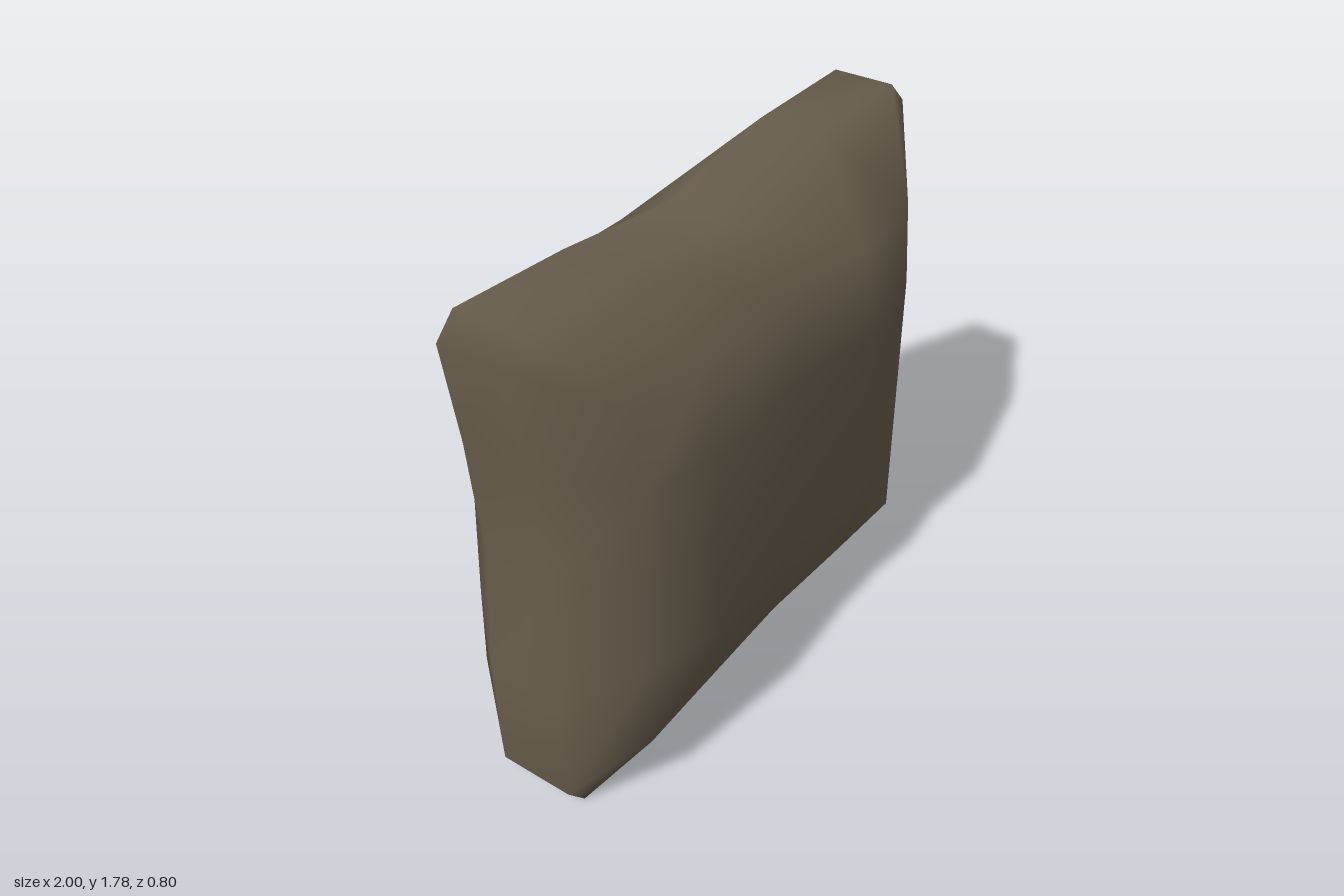
import * as THREE from 'three';

// Pillow outline, anticlockwise; each side repeats: middle, quarter, corner, corner, quarter
const OUTLINE = [
  [0.89, 0.93], [0.97, 1.38], [1, 1.7], [0.92, 1.78], [0.48, 1.77],
  [-0.02, 1.68], [-0.5, 1.735], [-0.93, 1.76], [-1, 1.69], [-0.95, 1.35],
  [-0.91, 0.93], [-0.94, 0.47], [-0.93, 0.085], [-0.86, 0], [-0.45, 0.025],
  [0, 0.05], [0.45, 0.03], [0.86, 0], [0.935, 0.09], [0.935, 0.47],
];

// Puffed faces: a 5 x 5 grid of depths, rows from the bottom up
const FRONT = {
  x: [-0.72, -0.45, 0, 0.38, 0.72],
  y: [0.25, 0.55, 0.9, 1.21, 1.49],
  z: [
    [0.31, 0.3, 0.285, 0.3, 0.31],
    [0.31, 0.38, 0.335, 0.375, 0.31],
    [0.31, 0.355, 0.335, 0.355, 0.31],
    [0.31, 0.37, 0.34, 0.395, 0.31],
    [0.28, 0.315, 0.315, 0.335, 0.29],
  ],
};
const BACK = {
  x: [-0.75, -0.43, 0, 0.38, 0.75],
  y: [0.25, 0.55, 0.93, 1.28, 1.55],
  z: [
    [-0.35, -0.32, -0.31, -0.32, -0.35],
    [-0.34, -0.375, -0.37, -0.375, -0.34],
    [-0.32, -0.37, -0.37, -0.37, -0.32],
    [-0.34, -0.4, -0.375, -0.385, -0.34],
    [-0.29, -0.33, -0.325, -0.33, -0.29],
  ],
};

// Grid border cell that outline point k joins: one side's cells, turned by quarter turns
function borderCell(k) {
  let [column, row] = [[4, 2], [4, 3], [4, 4], [4, 4], [3, 4]][k % 5];
  for (let turn = Math.floor(k / 5); turn > 0; turn--) [column, row] = [4 - row, column];
  return row * 5 + column;
}

function pillowGeometry() {
  const n = OUTLINE.length;
  const positions = [];
  const index = [];

  // Quad of two triangles, leaving out the half that collapses at a corner
  function quad(a, b, c, d) {
    for (const [p, q, r] of [[a, b, c], [a, c, d]]) {
      if (p !== q && q !== r && r !== p) index.push(p, q, r);
    }
  }

  // Front and back faces
  for (const { x, y, z } of [FRONT, BACK]) {
    const start = positions.length / 3;
    z.forEach((depths, row) => depths.forEach((depth, column) => {
      positions.push(x[column], y[row], depth);
    }));
    for (let row = 0; row < 4; row++) {
      for (let column = 0; column < 4; column++) {
        const a = start + row * 5 + column;
        if (start === 0) quad(a, a + 1, a + 6, a + 5);
        else quad(a, a + 5, a + 6, a + 1);
      }
    }
  }

  // Rim band, a little thicker at the bottom
  const frontRim = positions.length / 3;
  const backRim = frontRim + n;
  for (const [x, y] of OUTLINE) positions.push(x, y, 0.14 - 0.028 * y);
  for (const [x, y] of OUTLINE) positions.push(x, y, -0.125);
  for (let k = 0; k < n; k++) {
    const next = (k + 1) % n;
    const face = borderCell(k), faceNext = borderCell(next);
    quad(face, frontRim + k, frontRim + next, faceNext);
    quad(frontRim + k, backRim + k, backRim + next, frontRim + next);
    quad(backRim + k, 25 + face, 25 + faceNext, backRim + next);
  }

  const geometry = new THREE.BufferGeometry();
  geometry.setAttribute('position', new THREE.Float32BufferAttribute(positions, 3));
  geometry.setIndex(index);
  geometry.computeVertexNormals();
  return geometry;
}

export function createModel() {
  const group = new THREE.Group();
  group.name = 'pillow';
  const fabric = new THREE.MeshStandardMaterial({ color: 0x6a5f4e });
  fabric.name = 'brown fabric';
  const cushion = new THREE.Mesh(pillowGeometry(), fabric);
  cushion.name = 'cushion';
  group.add(cushion);
  return group;
}
